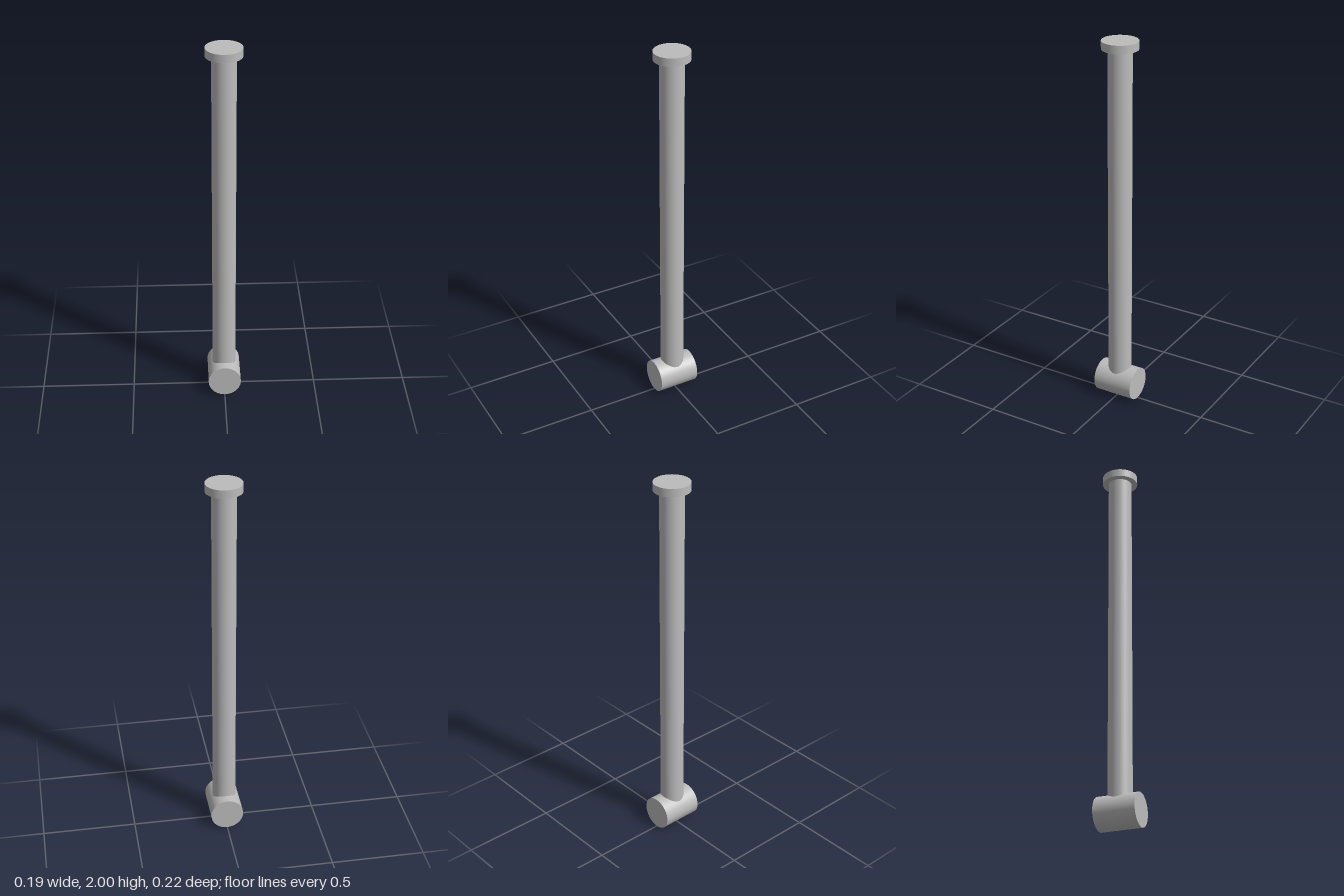
import * as THREE from 'three';

export function createModel() {
  const model = new THREE.Group();
  model.name = 'pin';

  const steel = new THREE.MeshStandardMaterial({ color: 0xbcbcbc });
  steel.name = 'steel grey';

  // Smooth round bar standing upright, from bottom to top
  const addBar = (name, radius, bottom, top) => {
    const geometry = new THREE.CylinderGeometry(radius, radius, top - bottom, 96);
    const mesh = new THREE.Mesh(geometry, steel);
    mesh.name = name;
    mesh.position.y = (bottom + top) / 2;
    model.add(mesh);
    return mesh;
  };

  const barrelRadius = 0.088;
  const barrelLength = 0.222;

  // Flat round head and long shaft, the shaft ending inside the barrel
  addBar('head', 0.094, 1.957, 2);
  addBar('shaft', 0.0625, barrelRadius, 1.957);

  // Cross barrel at the foot, lying front to back
  const barrel = addBar('crossBarrel', barrelRadius, 0, barrelLength);
  barrel.rotation.x = Math.PI / 2;
  barrel.position.y = barrelRadius;

  return model;
}
